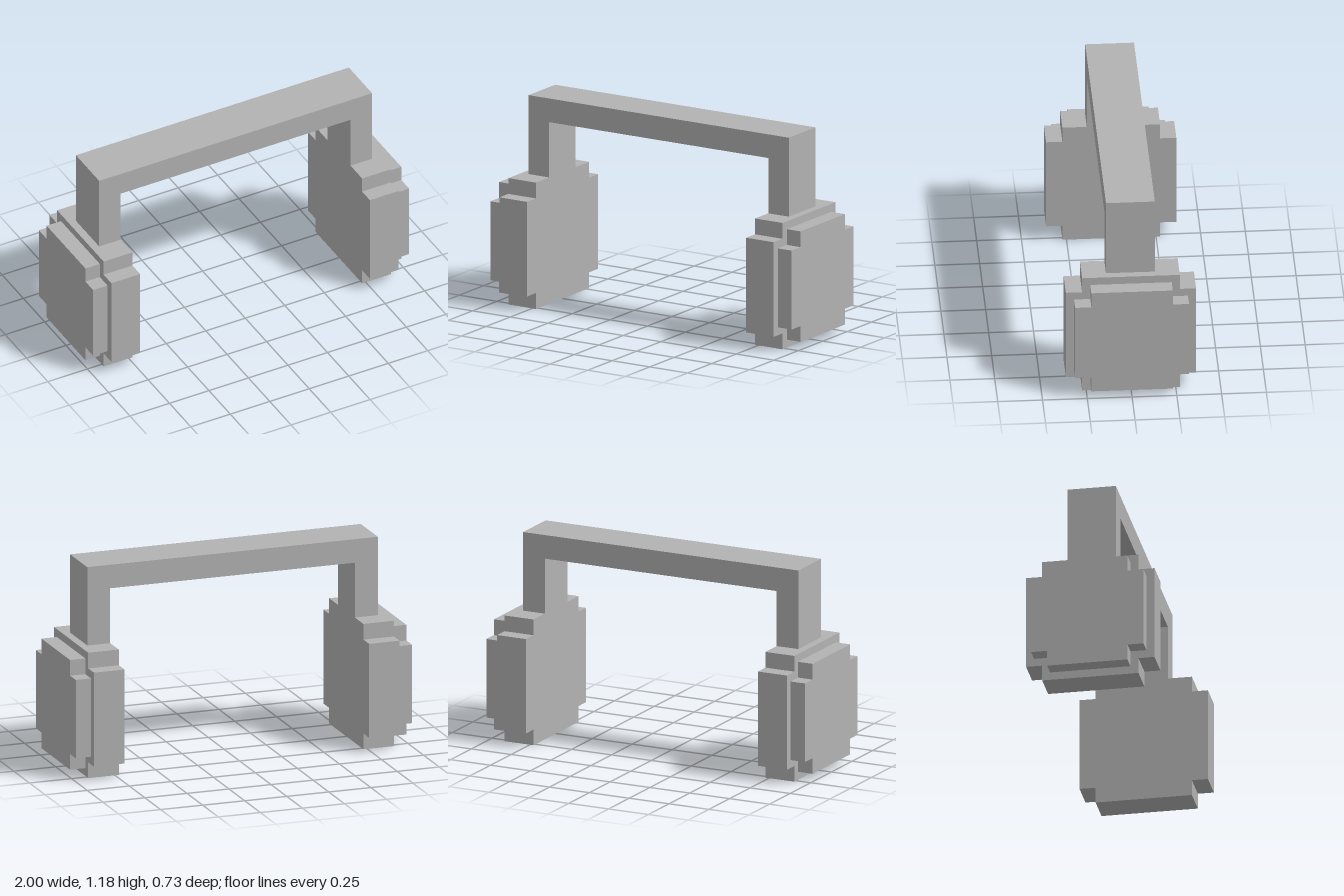
import * as THREE from 'three';

const U = 1 / 22; // the whole design sits on a grid of 22 units per half width

const grey = new THREE.MeshStandardMaterial({ color: 0xb2b2b2 });
grey.name = 'grey';

// Extrudes a closed outline given in grid units
function extrude(name, points, depth) {
  const shape = new THREE.Shape(points.map(([x, y]) => new THREE.Vector2(x * U, y * U)));
  const geometry = new THREE.ExtrudeGeometry(shape, { depth: depth * U, bevelEnabled: false });
  const mesh = new THREE.Mesh(geometry, grey);
  mesh.name = name;
  return mesh;
}

// Square plate with stepped corners, spanning x0..x1 and centred on z = 0
function steppedPlate(name, half, notch, x0, x1) {
  const h = half, n = half - notch;
  const outline = [
    [-n, -h], [n, -h], [n, -n], [h, -n], [h, n], [n, n],
    [n, h], [-n, h], [-n, n], [-h, n], [-h, -n], [-n, -n],
  ];
  const plate = extrude(name, outline, x1 - x0);
  plate.geometry.rotateY(Math.PI / 2);
  plate.position.set(x0 * U, 8 * U, 0);
  return plate;
}

export function createModel() {
  const model = new THREE.Group();
  model.name = 'headphones';

  // Headband: one arch with square corners
  const band = extrude('headband', [
    [-19, 16], [-16, 16], [-16, 23], [16, 23], [16, 16], [19, 16], [19, 26], [-19, 26],
  ], 6);
  band.position.z = -3 * U;
  model.add(band);

  // Ear cups: a thick cushion with a smaller cap outside
  for (const [side, turn] of [['left', 0], ['right', Math.PI]]) {
    const cup = new THREE.Group();
    cup.name = side + 'EarCup';
    cup.add(steppedPlate('cushion', 8, 2, 16, 20));
    cup.add(steppedPlate('outerCap', 7, 2, 20, 22));
    cup.rotation.y = turn;
    model.add(cup);
  }
  return model;
}
